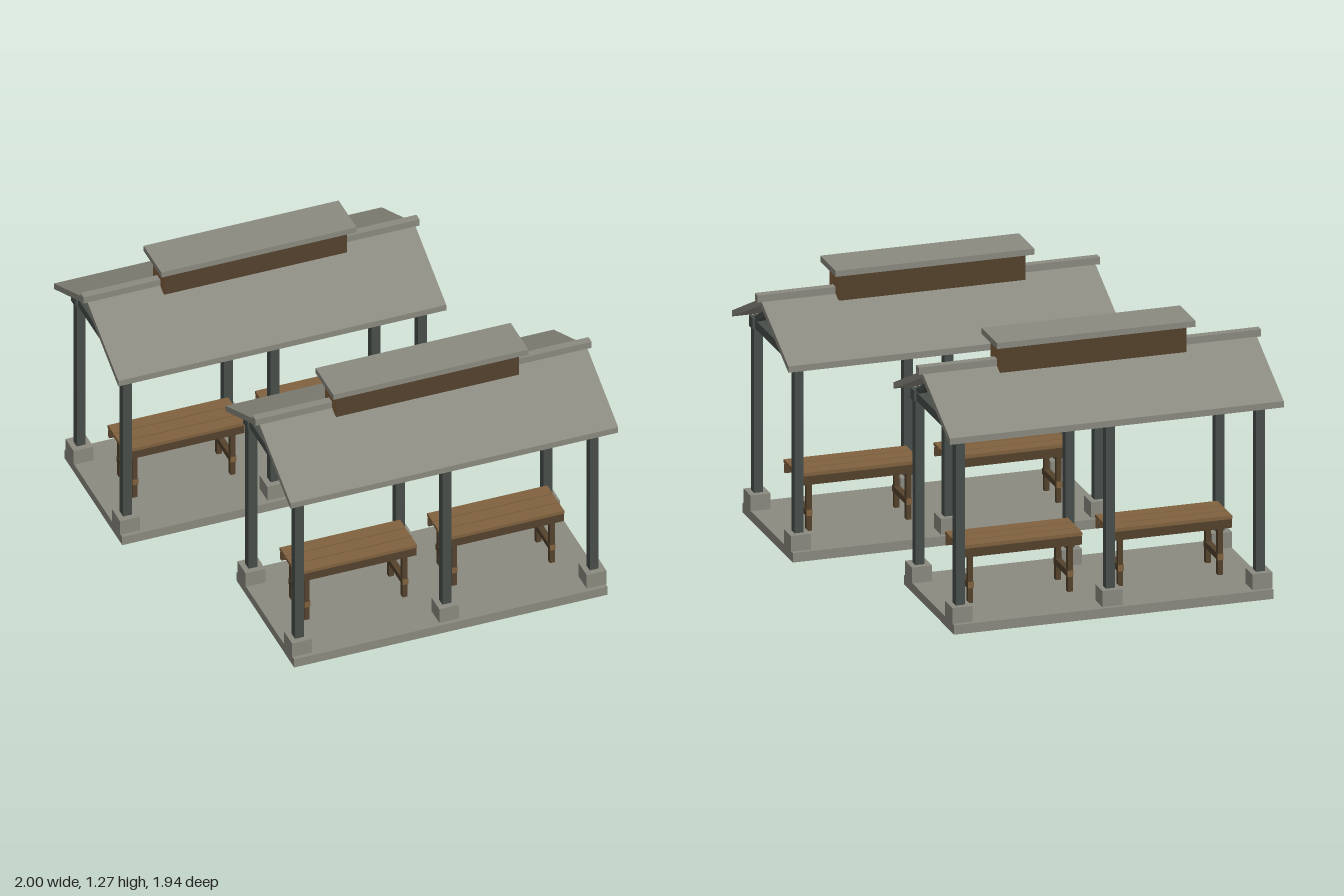
import * as THREE from 'three';

const mat = (name, color) => {
  const m = new THREE.MeshStandardMaterial({ color });
  m.name = name;
  return m;
};

export function createModel() {
  const concrete = mat('concrete grey', 0x8b8a80);
  const steel = mat('dark steel', 0x474e4a);
  const wood = mat('light wood', 0x80623f);
  const darkWood = mat('dark wood', 0x54422d);
  // Timber faces in box order (+x -x +y -y +z -z): pale end grain, dark sides
  const endsX = [wood, wood, darkWood, darkWood, darkWood, darkWood];
  const endsZ = [darkWood, darkWood, darkWood, darkWood, wood, wood];

  // Box from its size, standing on height y
  function box(parent, name, material, w, h, d, x, y, z) {
    const m = new THREE.Mesh(new THREE.BoxGeometry(w, h, d), material);
    m.name = name;
    m.position.set(x, y + h / 2, z);
    parent.add(m);
    return m;
  }

  // Gable-shaped profile in (z, y), extruded along x and centred
  function gable(parent, name, material, points, length, x) {
    const shape = new THREE.Shape(points.map(([z, y]) => new THREE.Vector2(z, y)));
    const geo = new THREE.ExtrudeGeometry(shape, { depth: length, bevelEnabled: false });
    geo.translate(0, 0, -length / 2);
    geo.rotateY(Math.PI / 2);
    const m = new THREE.Mesh(geo, material);
    m.name = name;
    m.position.x = x;
    parent.add(m);
  }

  function bench(x) {
    const g = new THREE.Group();
    g.name = 'bench';
    g.position.x = x;
    // Three seat planks
    for (const z of [-0.071, 0, 0.071]) box(g, 'seatPlank', wood, 0.58, 0.016, 0.065, 0, 0.309, z);
    for (const s of [-1, 1]) {
      box(g, 'apron', endsX, 0.58, 0.04, 0.016, 0, 0.265, s * 0.091);
      for (const t of [-1, 1]) box(g, 'benchLeg', darkWood, 0.024, 0.264, 0.024, s * 0.236, 0.045, t * 0.084);
      box(g, 'seatBearer', darkWood, 0.024, 0.03, 0.15, s * 0.236, 0.278, 0);
      box(g, 'stretcher', endsZ, 0.028, 0.03, 0.2, s * 0.236, 0.117, 0);
    }
    return g;
  }

  function pavilion(x, z) {
    const g = new THREE.Group();
    g.name = 'pavilion';
    g.position.set(x, 0, z);
    box(g, 'floorSlab', concrete, 1.51, 0.045, 0.71, 0, 0, 0);

    // Posts on footings, with a truss over each pair
    for (const px of [-0.71, 0, 0.71]) {
      for (const s of [-1, 1]) {
        box(g, 'footing', concrete, 0.095, 0.075, 0.1, px, 0.045, s * 0.285);
        box(g, 'post', steel, 0.043, 0.8, 0.043, px, 0.12, s * 0.285);
      }
      box(g, 'tieBeam', steel, 0.036, 0.04, 0.57, px, 0.905, 0);
      gable(g, 'rafters', steel, [
        [-0.3, 0.94], [-0.255, 0.935], [0, 1.082], [0.255, 0.935], [0.3, 0.94], [0, 1.108],
      ], 0.034, px);
    }
    // Eave beams along the post tops
    for (const s of [-1, 1]) box(g, 'eaveBeam', steel, 1.48, 0.052, 0.05, 0, 0.902, s * 0.285);

    // Roof, ridge cap and raised vent
    gable(g, 'roof', concrete, [
      [-0.397, 0.922], [0, 1.108], [0.397, 0.922], [0.397, 0.952], [0, 1.14], [-0.397, 0.952],
    ], 1.58, 0);
    box(g, 'ridgeCap', concrete, 1.62, 0.034, 0.038, 0, 1.13, 0);
    box(g, 'ventWalls', endsX, 0.88, 0.135, 0.14, 0, 1.115, 0);
    box(g, 'ventCover', concrete, 0.94, 0.028, 0.218, 0, 1.245, 0);

    for (const bx of [-0.355, 0.355]) g.add(bench(bx));
    return g;
  }

  const model = new THREE.Group();
  model.name = 'picnicPavilions';
  // Two shelters, staggered sideways
  model.add(pavilion(0.19, 0.572), pavilion(-0.19, -0.572));
  return model;
}
